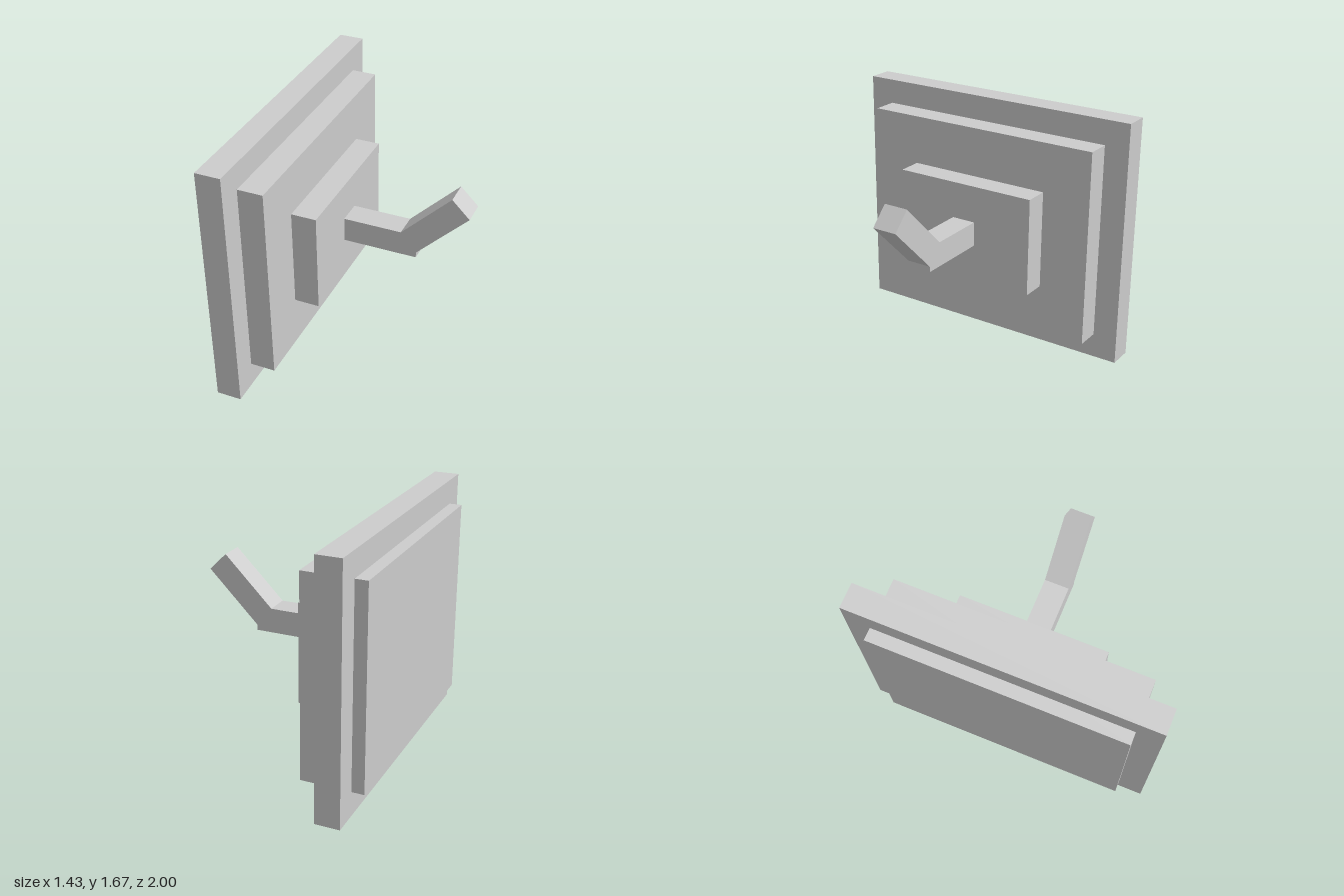
import * as THREE from 'three';

export function createModel() {
  const model = new THREE.Group();
  const grey = new THREE.MeshStandardMaterial({ color: 0xcccccc });
  grey.name = 'light grey';

  // Box given by its size and centre, all centred on z = 0
  function addBox(name, [w, h, d], [x, y], tilt = 0) {
    const mesh = new THREE.Mesh(new THREE.BoxGeometry(w, h, d), grey);
    mesh.name = name;
    mesh.position.set(x, y, 0);
    mesh.rotation.z = tilt;
    model.add(mesh);
  }

  const t = 1 / 6; // common plate thickness
  const midY = 5 / 6;

  // Stepped wall plate
  addBox('backPlate', [t, 10 * t, 2], [-0.547, midY]);
  addBox('middlePlate', [2.5 * t, 8 * t, 10 * t], [-0.505, midY]);
  addBox('frontPlate', [t, 4 * t, 1], [-0.2135, midY]);

  // Hook: straight arm and upturned tip
  addBox('hookArm', [0.5, t, t], [0.12, midY]);
  addBox('hookTip', [0.5, t, t], [0.477, 1.012], Math.PI / 4);

  return model;
}
